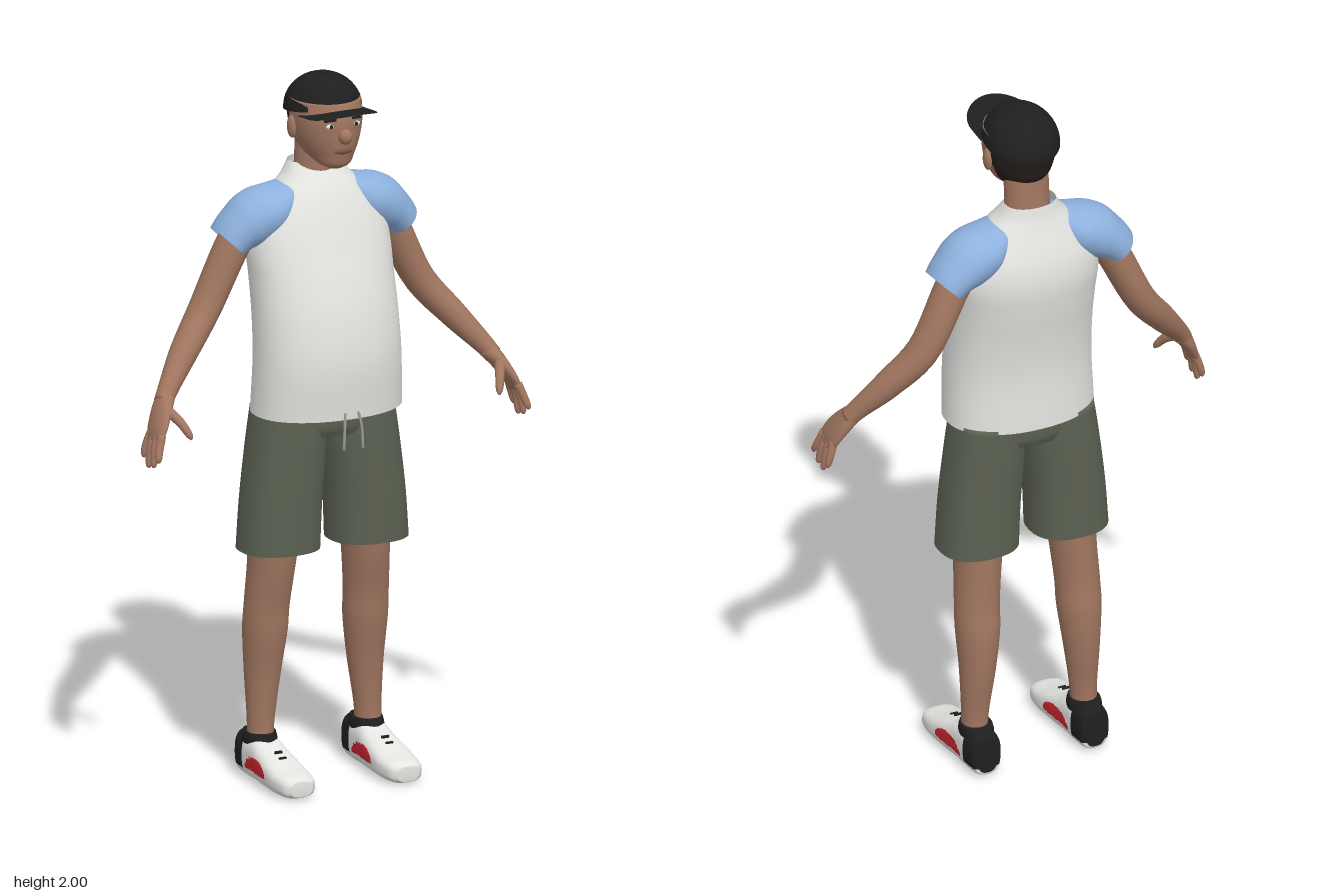
import * as THREE from 'three';

const X = new THREE.Vector3(1, 0, 0), Y = new THREE.Vector3(0, 1, 0), Z = new THREE.Vector3(0, 0, 1);

function makeMaterials() {
  const make = (name, color, side = THREE.FrontSide) => {
    const m = new THREE.MeshStandardMaterial({ color, side });
    m.name = name;
    return m;
  };
  const both = THREE.DoubleSide;
  return {
    skin: make('skin', 0xa17660), lips: make('lips', 0x7d5243), hair: make('hair', 0x241e1b),
    white: make('white', 0xe4e4e1, both), blue: make('light blue', 0x8db1de, both),
    olive: make('olive', 0x5b6152, both), black: make('black', 0x1f1f1f, both),
    red: make('red', 0xcc2530), green: make('dark green', 0x11491f), grey: make('grey', 0x9a9a98),
  };
}

// Skin a smooth surface over stations [x, y, z, radiusU, radiusW]
function loft(stations, { axis = null, ref = X, steps = 24, n = 32, pow = 2, capA = true, capB = true } = {}) {
  const path = new THREE.CatmullRomCurve3(stations.map(s => new THREE.Vector3(s[0], s[1], s[2])), false, 'catmullrom');
  const size = new THREE.CatmullRomCurve3(stations.map(s => new THREE.Vector3(s[3], s[4], 0)), false, 'catmullrom');
  const pos = [], idx = [];
  const bend = v => Math.sign(v) * Math.abs(v) ** (2 / pow);
  for (let i = 0; i <= steps; i++) {
    const c = path.getPoint(i / steps), r = size.getPoint(i / steps);
    const t = axis || path.getTangent(i / steps);
    const u = ref.clone().addScaledVector(t, -ref.dot(t)).normalize();
    const w = u.clone().cross(t);
    for (let j = 0; j < n; j++) {
      const a = j / n * Math.PI * 2;
      const p = c.clone().addScaledVector(u, r.x * bend(Math.cos(a))).addScaledVector(w, r.y * bend(Math.sin(a)));
      pos.push(p.x, p.y, p.z);
      const k = (j + 1) % n, q = i * n;
      if (i < steps) idx.push(q + j, q + n + j, q + k, q + k, q + n + j, q + n + k);
    }
  }
  const cap = (i, flip) => {
    const c = path.getPoint(i / steps), m = pos.length / 3;
    pos.push(c.x, c.y, c.z);
    for (let j = 0; j < n; j++) {
      const a = i * n + j, b = i * n + (j + 1) % n;
      idx.push(m, flip ? b : a, flip ? a : b);
    }
  };
  if (capA) cap(0, false);
  if (capB) cap(steps, true);
  const g = new THREE.BufferGeometry();
  g.setAttribute('position', new THREE.Float32BufferAttribute(pos, 3));
  g.setIndex(idx);
  g.computeVertexNormals();
  return g;
}

// Upright loft from rows [y, halfWidth, frontZ, backZ, centreX]
const upright = (rows, opts = {}) => loft(
  rows.map(([y, hw, f, b, cx = 0]) => [cx, y, (f + b) / 2, hw, (f - b) / 2]), { axis: Y, ...opts });

// Sort faces into material groups by their centre
function paint(g, count, pick) {
  const p = g.attributes.position, src = g.index.array, buckets = Array.from({ length: count }, () => []);
  for (let i = 0; i < src.length; i += 3) {
    const f = [src[i], src[i + 1], src[i + 2]];
    const mid = get => f.reduce((s, v) => s + get(v), 0) / 3;
    buckets[pick(mid(v => p.getX(v)), mid(v => p.getY(v)), mid(v => p.getZ(v)))].push(...f);
  }
  g.setIndex(buckets.flat());
  let start = 0;
  buckets.forEach((b, i) => { g.addGroup(start, b.length, i); start += b.length; });
  return g;
}

export function createModel() {
  const M = makeMaterials(), root = new THREE.Group();
  root.name = 'standingMan';
  const add = (name, geo, mat, parent = root) => {
    const m = new THREE.Mesh(geo, mat);
    m.name = name;
    parent.add(m);
    return m;
  };
  const blob = (name, mat, at, scale, parent) => {
    const m = add(name, new THREE.SphereGeometry(1, 20, 14), mat, parent);
    m.position.set(...at);
    m.scale.set(...scale);
    return m;
  };

  // Shirt body
  add('shirtBody', upright([
    [1.05, .215, .145, -.155], [1.2, .209, .155, -.152], [1.32, .206, .14, -.163], [1.42, .205, .113, -.18],
    [1.5, .207, .085, -.19], [1.56, .197, .064, -.186], [1.61, .17, .045, -.173], [1.66, .133, .022, -.155],
    [1.7, .095, -.003, -.142], [1.735, .073, -.028, -.135],
  ], { steps: 54, n: 48, pow: 2.2, capA: false, capB: false }), M.white);

  // Neck and head with short hair at the back
  add('neck', upright([[1.67, .07, -.01, -.12], [1.73, .064, -.012, -.112], [1.83, .064, 0, -.107]]), M.skin);
  const head = new THREE.Group();
  head.name = 'head';
  root.add(head);
  add('skull', paint(upright([
    [1.742, .022, .07, .02], [1.755, .045, .09, -.01], [1.78, .066, .098, -.08], [1.81, .082, .105, -.115],
    [1.845, .093, .108, -.127], [1.885, .098, .108, -.134], [1.93, .097, .095, -.132],
  ], { steps: 48, n: 64 }), 2, (x, y, z) => (y > 1.785 && z < -.035 ? 1 : 0)), [M.skin, M.hair], head);
  blob('nose', M.skin, [0, 1.842, .11], [.019, .022, .021], head);
  blob('mouth', M.lips, [0, 1.799, .1], [.026, .009, .008], head);
  for (const s of [1, -1]) {
    blob('ear', M.skin, [s * .097, 1.852, -.018], [.012, .033, .019], head);
    blob('eye', M.white, [s * .038, 1.872, .097], [.014, .007, .006], head);
    blob('pupil', M.black, [s * .038, 1.872, .101], [.005, .006, .004], head);
    const brow = add('eyebrow', new THREE.BoxGeometry(.034, .006, .006), M.hair, head);
    brow.position.set(s * .04, 1.889, .099);
    brow.rotation.set(0, s * .35, -s * .1);
  }

  // Cap: dome, button and curved brim with a coloured underside
  const cap = new THREE.Group();
  cap.name = 'cap';
  root.add(cap);
  const dome = add('capDome', new THREE.SphereGeometry(1, 40, 16, 0, Math.PI * 2, 0, Math.PI / 2), M.black, cap);
  dome.scale.set(.104, .098, .121);
  dome.position.set(0, 1.894, -.024);
  dome.rotation.x = -.15;
  blob('capButton', M.black, [0, 1.993, -.012], [.009, .007, .009], cap);
  const brim = (dir, lift) => {
    const g = new THREE.PlaneGeometry(2, 1, 24, 8), p = g.attributes.position;
    for (let i = 0; i < p.count; i++) {
      const a = dir * p.getX(i) * Math.PI / 2, v = p.getY(i) + .5;
      const x = .1 * Math.sin(a), z = THREE.MathUtils.lerp(.02, .08 + .107 * Math.cos(a), v);
      p.setXYZ(i, x, 1.907 + .1 * (z - .06) - 1.6 * x * x + lift, z);
    }
    g.computeVertexNormals();
    return g;
  };
  add('brimTop', brim(-1, .003), M.black, cap);
  add('brimUnderside', brim(1, 0), M.green, cap);

  // Shorts waist
  add('shortsWaist', upright([[.985, .15, .07, -.125], [1.02, .195, .08, -.135], [1.12, .195, .08, -.135]],
    { pow: 2.4 }), M.olive);

  for (const s of [1, -1]) {
    const side = new THREE.Group();
    side.name = s > 0 ? 'leftLimbs' : 'rightLimbs';
    root.add(side);
    const limb = (name, pts, mat, opts) =>
      add(name, loft(pts.map(([x, ...r]) => [s * x, ...r]), { ref: Z, ...opts }), mat, side);

    // Raglan sleeve
    limb('sleeve', [
      [.075, 1.665, -.066, .06, .03], [.135, 1.617, -.07, .089, .068], [.19, 1.588, -.075, .088, .075],
      [.232, 1.56, -.08, .08, .062], [.262, 1.53, -.083, .074, .053],
    ], M.blue, { capB: false });

    // Arm, palm, fingers and thumb
    limb('arm', [
      [.2, 1.58, -.08, .05, .048], [.245, 1.51, -.09, .052, .047], [.325, 1.35, -.09, .05, .043],
      [.41, 1.245, -.052, .042, .038], [.475, 1.168, -.012, .03, .029], [.505, 1.13, .008, .028, .024],
    ], M.skin);
    limb('palm', [
      [.492, 1.145, 0, .027, .026], [.515, 1.112, .02, .04, .021], [.538, 1.07, .042, .045, .016],
      [.55, 1.04, .05, .04, .011],
    ], M.skin);
    [.99, .97, .963, .985].forEach((tip, i) => limb('finger', [
      [.544, 1.06, .078 - .02 * i, .012, .012], [.558, 1.02, .09 - .026 * i, .011, .011],
      [.564, tip + .01, .099 - .029 * i, .009, .009], [.566, tip, .1 - .029 * i, .003, .003],
    ], M.skin, { steps: 10, n: 12 }));
    limb('thumb', [
      [.51, 1.12, .035, .016, .015], [.488, 1.09, .08, .013, .013], [.474, 1.06, .105, .01, .01],
      [.47, 1.047, .112, .003, .003],
    ], M.skin, { steps: 10, n: 12 });

    // Shorts leg and bare leg
    add('shortsLeg', upright([
      [.662, .113, .075, -.13, s * .135], [.8, .11, .078, -.132, s * .127],
      [.95, .106, .08, -.135, s * .112], [1.06, .099, .08, -.135, s * .102],
    ], { pow: 2.4, capA: false }), M.olive, side);
    add('leg', upright([
      [.09, .036, -.035, -.115, s * .165], [.17, .038, -.036, -.115, s * .163], [.3, .05, -.024, -.131, s * .157],
      [.42, .061, -.004, -.136, s * .153], [.5, .062, .004, -.128, s * .151], [.64, .065, .03, -.125, s * .142],
      [.85, .08, .05, -.125, s * .13],
    ], { steps: 36 }), M.skin, side);

    // Shoe with heel panel, side patches, collar and laces
    const cx = s * .163;
    const shoe = loft([
      [cx, .062, -.155, .03, .05], [cx, .064, -.145, .043, .061], [cx, .064, -.09, .048, .064],
      [cx, .061, -.04, .05, .061], [cx, .052, 0, .054, .052], [cx, .044, .05, .057, .044],
      [cx, .036, .1, .058, .036], [cx, .031, .15, .05, .03], [cx, .029, .17, .032, .021],
    ], { axis: Z, steps: 72, n: 72, pow: 2.8 });
    add('shoe', paint(shoe, 3, (x, y, z) => {
      if (z < -.097 && y > .028) return 2;
      const inPatch = y > .035 && ((z + .01) / .068) ** 2 + ((y - .035) / .04) ** 2 < 1;
      return inPatch && Math.abs(x - cx) > .03 ? 1 : 0;
    }), [M.white, M.red, M.black], side);
    add('shoeCollar', upright([[.08, .044, -.01, -.14, cx], [.115, .045, -.02, -.145, cx], [.133, .042, -.027, -.138, cx]]),
      M.black, side);
    for (const z of [.03, .055]) {
      const lace = add('lace', new THREE.BoxGeometry(.022, .006, .006), M.black, side);
      lace.position.set(cx, .111 - .43 * z + .0005 * z, z);
      lace.rotation.x = .3;
    }

    // Drawstring
    limb('drawstring', [
      [.02, 1.07, .15, .004, .004], [.026, 1.03, .158, .004, .004], [.029, .97, .159, .004, .004],
    ], M.grey, { steps: 8, n: 8 });
  }
  return root;
}
